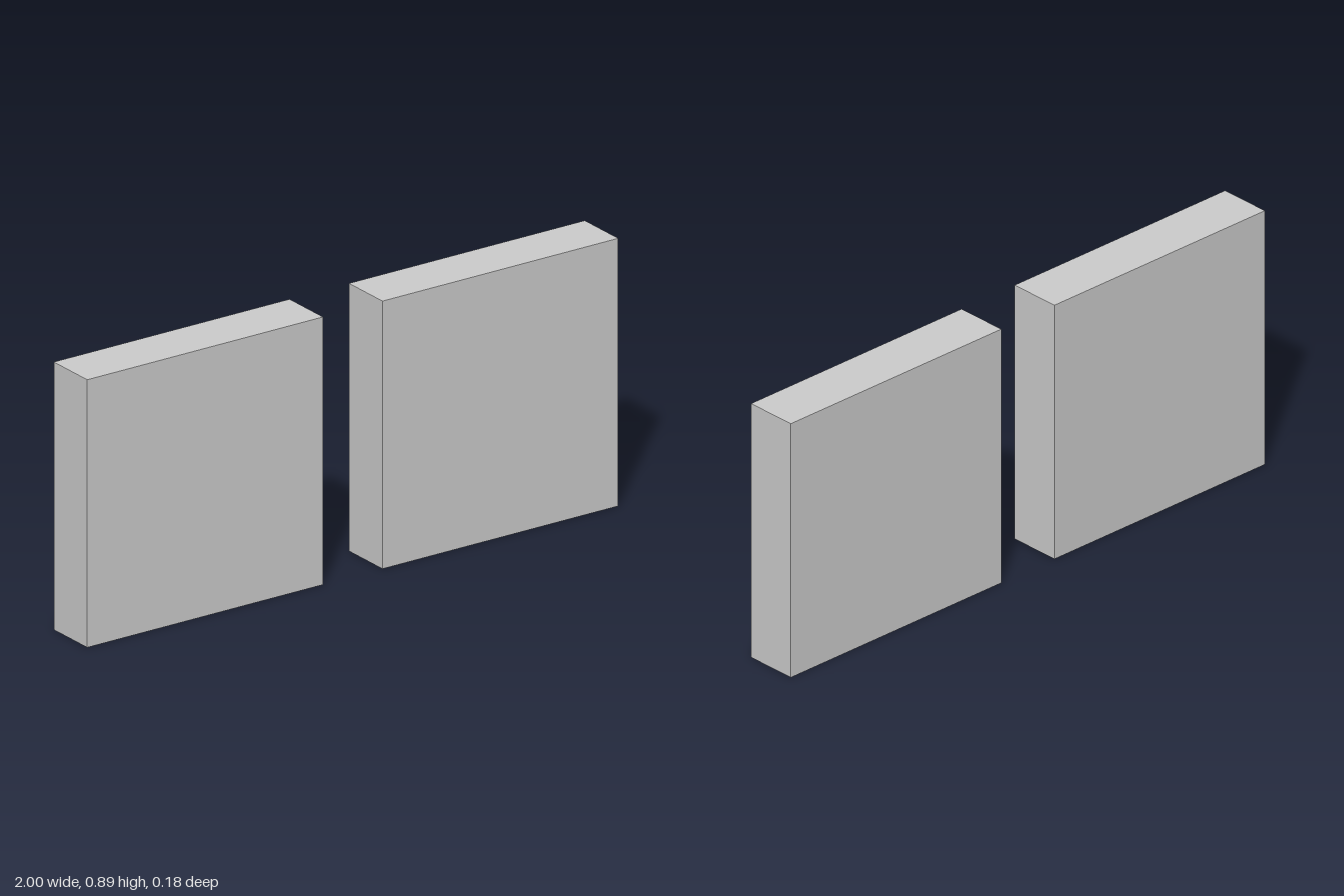
import * as THREE from 'three';

export function createModel() {
  const model = new THREE.Group();
  const material = new THREE.MeshStandardMaterial({ color: 0xcccccc, flatShading: true });
  const size = 0.888, depth = 0.178;
  const geometry = new THREE.BoxGeometry(size, size, depth);

  // Two matching square slabs, mirrored about the central gap
  for (const [name, side] of [['leftPanel', 1], ['rightPanel', -1]]) {
    const panel = new THREE.Mesh(geometry, material);
    panel.name = name;
    panel.position.set(side * (1 - size / 2), size / 2, 0);
    model.add(panel);
  }
  return model;
}
